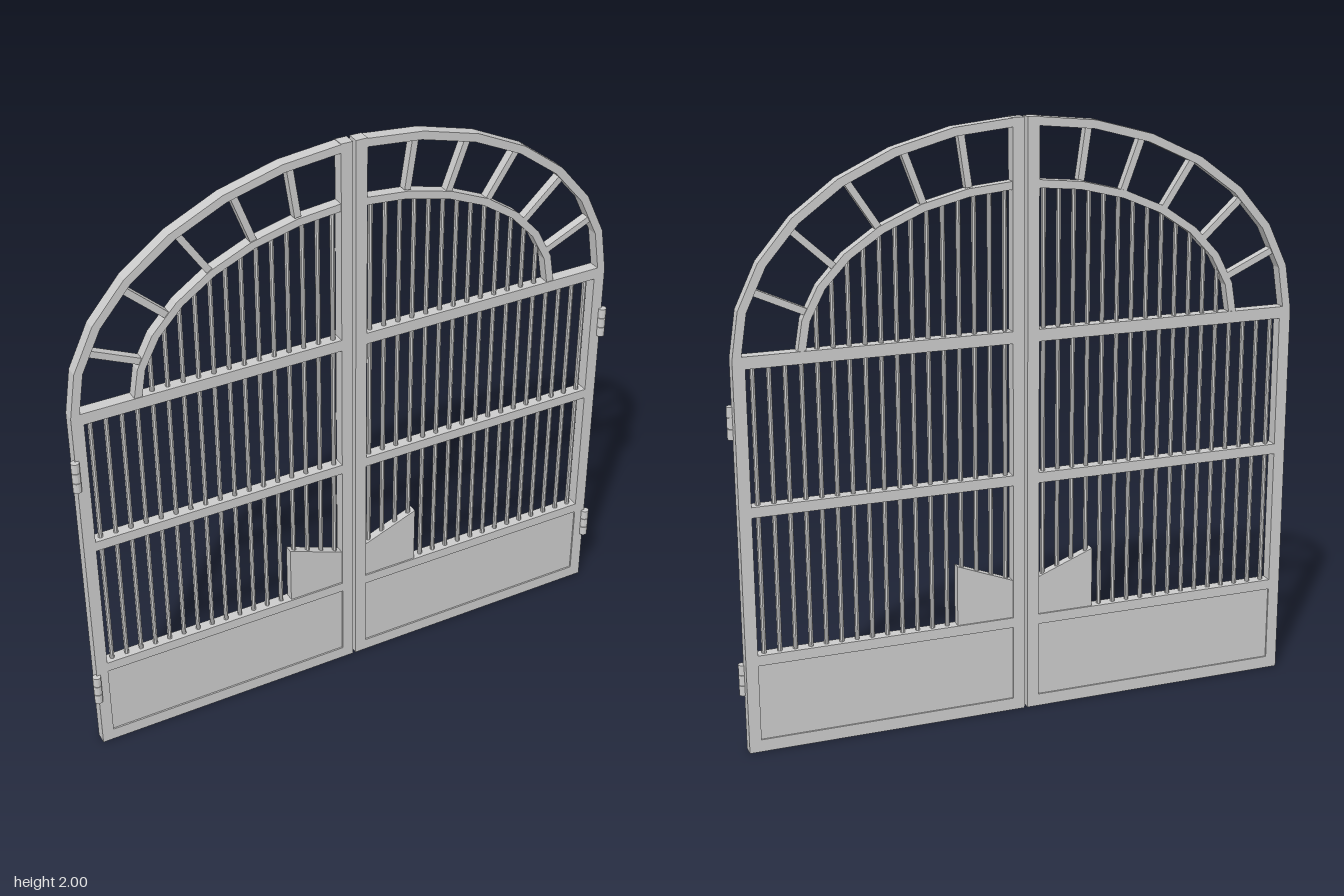
import * as THREE from 'three';

const material = new THREE.MeshStandardMaterial({ color: 0xcccccc, flatShading: true });
const BACK = -0.03, FRONT = 0.011, MID = (BACK + FRONT) / 2, DEPTH = FRONT - BACK;
const SPRING = 1.31; // height where the arches start
const OUTER = { a: 0.955, b: 0.69, t: 0.028 };
const INNER = { a: 0.751, b: 0.493, t: 0.026 };
const SEGMENTS = 7;

function add(group, name, geometry, x = 0, y = 0, z = 0) {
  const mesh = new THREE.Mesh(geometry, material);
  mesh.name = name;
  mesh.position.set(x, y, z);
  group.add(mesh);
  return mesh;
}

// Box given by its extents in the front plane
function bar(group, name, s, x0, x1, y0, y1, depth = DEPTH) {
  return add(group, name, new THREE.BoxGeometry(x1 - x0, y1 - y0, depth),
    s * (x0 + x1) / 2, (y0 + y1) / 2, MID);
}

// Flat outline extruded about the middle of the gate
function plate(group, name, s, points, depth) {
  const shape = new THREE.Shape(points.map(([x, y]) => new THREE.Vector2(s * x, y)));
  const geometry = new THREE.ExtrudeGeometry(shape, { depth, bevelEnabled: false });
  return add(group, name, geometry, 0, 0, MID - depth / 2);
}

// Points of a quarter ellipse that ends inside the meeting stile
function arc(a, b) {
  const end = Math.acos(0.03 / a);
  return Array.from({ length: SEGMENTS + 1 }, (_, i) => {
    const t = end * i / SEGMENTS;
    return [a * Math.cos(t), SPRING + b * Math.sin(t)];
  });
}

function archBand(group, name, s, { a, b, t }, depth) {
  plate(group, name, s, [...arc(a, b), ...arc(a - t, b - t).reverse()], depth);
}

// Height of the faceted inner arch above a given x
function archHeight(x) {
  const pts = arc(INNER.a - INNER.t / 2, INNER.b - INNER.t / 2);
  for (let i = 0; i < SEGMENTS; i++) {
    const [x0, y0] = pts[i], [x1, y1] = pts[i + 1];
    if (x <= x0 && x >= x1) return y0 + (y1 - y0) * (x0 - x) / (x0 - x1);
  }
  return SPRING;
}

function createLeaf(s) {
  const leaf = new THREE.Group();
  leaf.name = s > 0 ? 'leftLeaf' : 'rightLeaf';

  // Frame
  bar(leaf, 'meetingStile', s, 0.005, 0.045, 0, 2);
  bar(leaf, 'hingeStile', s, 0.915, 0.955, 0, SPRING);
  bar(leaf, 'bottomRail', s, 0.045, 0.915, 0, 0.042);
  bar(leaf, 'panelRail', s, 0.045, 0.915, 0.3, 0.335);
  bar(leaf, 'middleRail', s, 0.045, 0.915, 0.8, 0.835);
  bar(leaf, 'springRail', s, 0.045, 0.95, 1.279, 1.319);

  // Solid lower panel with the raised lock plate
  plate(leaf, 'lowerPanel', s, [[0.04, 0.03], [0.92, 0.03], [0.92, 0.32], [0.24, 0.32],
    [0.24, 0.543], [0.04, 0.465]], 0.03);

  // Arches and the spokes between them
  archBand(leaf, 'outerArch', s, OUTER, DEPTH);
  archBand(leaf, 'innerArch', s, INNER, DEPTH - 0.004);
  const spokes = [
    [0.188, 1.79, 0.215, 1.975], [0.335, 1.745, 0.402, 1.925], [0.478, 1.678, 0.585, 1.84],
    [0.618, 1.567, 0.757, 1.695], [0.712, 1.437, 0.882, 1.515],
  ];
  for (const [x0, y0, x1, y1] of spokes) {
    const length = Math.hypot(x1 - x0, y1 - y0);
    const spoke = add(leaf, 'archSpoke', new THREE.BoxGeometry(0.022, length, 0.03),
      s * (x0 + x1) / 2, (y0 + y1) / 2, MID);
    spoke.rotation.z = -s * Math.atan2(x1 - x0, y1 - y0);
  }

  // Upright bars, those under the inner arch run up to it
  for (let i = 0; i < 17; i++) {
    const x = 0.066 + i * 0.0515;
    const top = x < 0.72 ? archHeight(x) : 1.3;
    const height = top - 0.31;
    add(leaf, 'uprightBar', new THREE.CylinderGeometry(0.008, 0.008, height, 8),
      s * x, 0.31 + height / 2, MID);
  }

  // Hinges of three knuckles on a pin
  for (const y of [0.243, 1.103]) {
    const hinge = new THREE.Group();
    hinge.name = 'hinge';
    hinge.position.set(s * 0.957, y, 0.014);
    for (const k of [-1, 0, 1]) {
      add(hinge, 'knuckle', new THREE.CylinderGeometry(0.014, 0.014, 0.034, 12), 0, k * 0.036, 0);
    }
    add(hinge, 'pin', new THREE.CylinderGeometry(0.01, 0.01, 0.1, 12));
    leaf.add(hinge);
  }
  return leaf;
}

export function createModel() {
  const gate = new THREE.Group();
  gate.name = 'archedGate';
  for (const s of [-1, 1]) gate.add(createLeaf(s));
  return gate;
}
